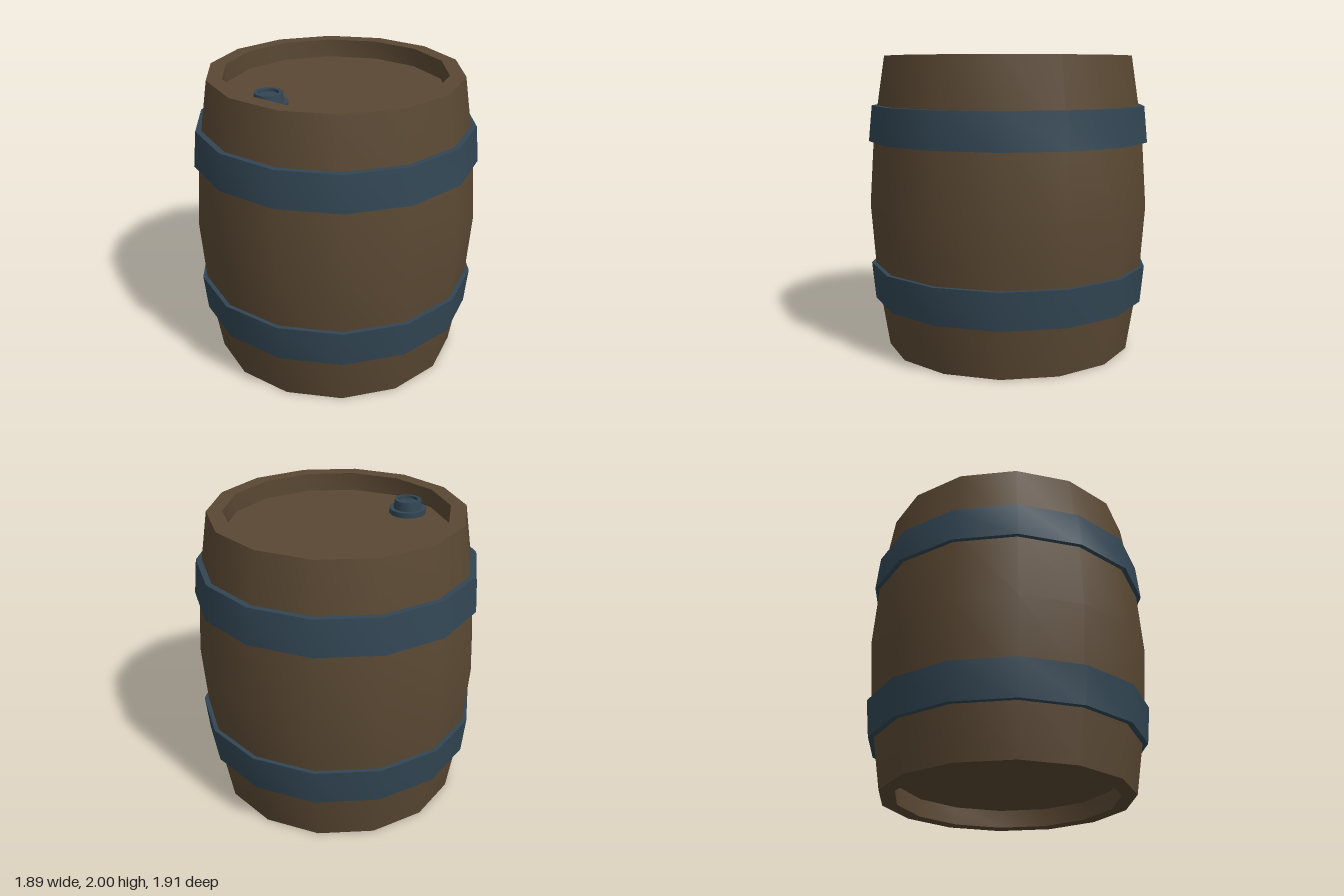
import * as THREE from 'three';
import { toCreasedNormals } from 'three/addons/utils/BufferGeometryUtils.js';

const SIDES = 14;
const TWIST = 0.069; // slight turn of the polygon about the vertical axis

// Revolve a profile of [radius, height] pairs, listed bottom to top along the outside
function revolve(name, profile, sides, material) {
  const points = profile.map(([r, y]) => new THREE.Vector2(r, y));
  const lathe = new THREE.LatheGeometry(points, sides, TWIST);
  const mesh = new THREE.Mesh(toCreasedNormals(lathe, 0.6), material);
  mesh.name = name;
  return mesh;
}

export function createModel() {
  const wood = new THREE.MeshStandardMaterial({ color: 0x5a4833 });
  wood.name = 'dark wood';
  const iron = new THREE.MeshStandardMaterial({ color: 0x324654 });
  iron.name = 'blue iron';

  const barrel = new THREE.Group();
  barrel.name = 'barrel';

  // Bulging staves with a raised rim and a sunken head at both ends
  barrel.add(revolve('barrelBody', [
    [0, 0.125], [0.74, 0.125], [0.74, 0], [0.843, 0],
    [0.921, 0.5], [0.956, 1], [0.921, 1.5],
    [0.843, 2], [0.74, 2], [0.74, 1.875], [0, 1.875],
  ], SIDES, wood));

  // Tapered hoops, wider towards the belly
  barrel.add(revolve('lowerHoop', [
    [0.87, 0.34], [0.933, 0.34], [0.957, 0.59], [0.87, 0.59],
  ], SIDES, iron));
  barrel.add(revolve('upperHoop', [
    [0.87, 1.43], [0.957, 1.43], [0.933, 1.67], [0.87, 1.67],
  ], SIDES, iron));

  // Bung: flange, neck and a shallow recess in its top
  const bung = revolve('bung', [
    [0.125, 0], [0.125, 0.035], [0.096, 0.035], [0.09, 0.095],
    [0.067, 0.095], [0.067, 0.075], [0, 0.075],
  ], 14, iron);
  bung.position.set(-0.405, 1.875, 0.365);
  barrel.add(bung);

  return barrel;
}
